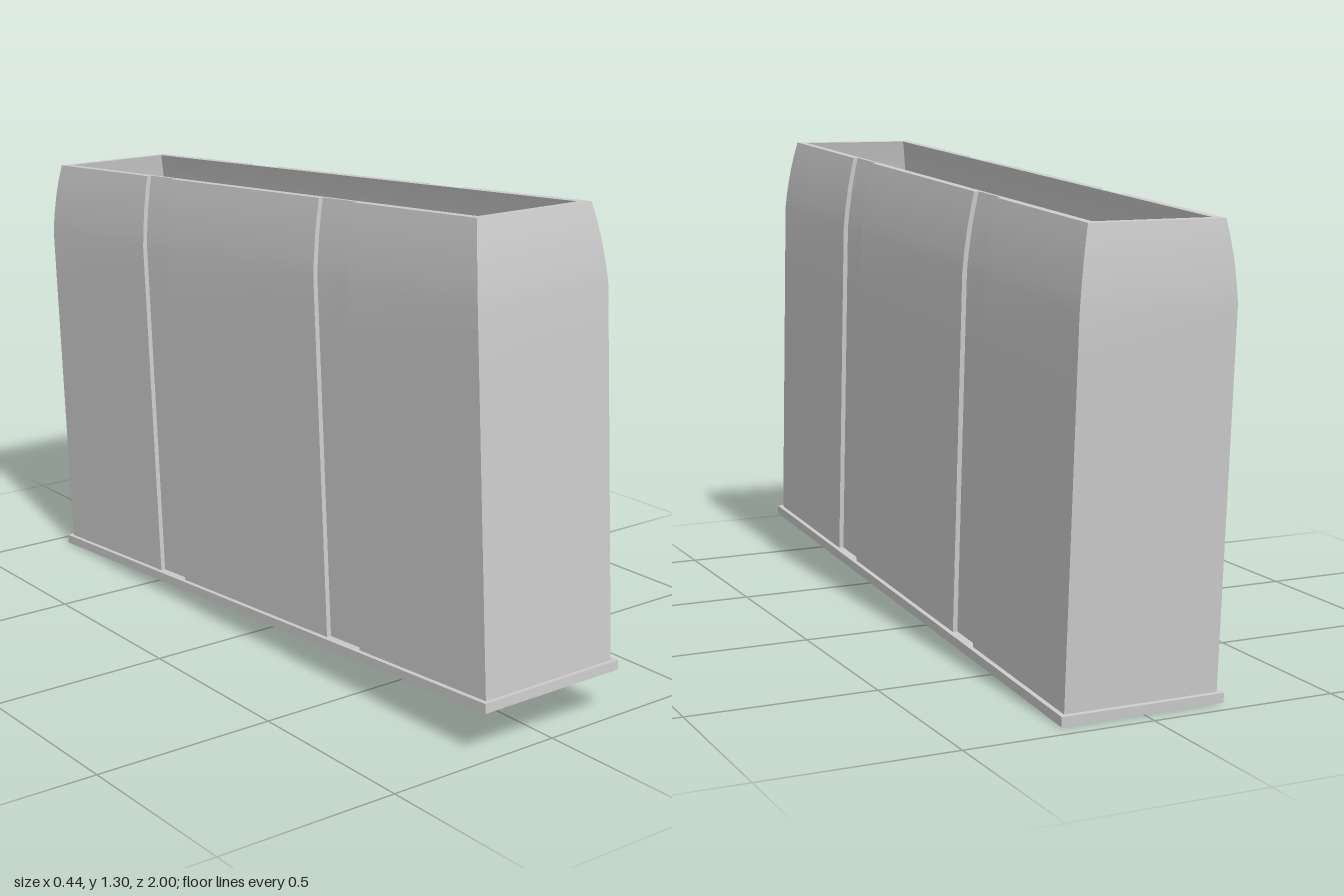
import * as THREE from 'three';
import { toCreasedNormals } from 'three/addons/utils/BufferGeometryUtils.js';

const HALF_W = 0.209, HALF_L = 0.964;   // outer body
const WALL = 0.024, GROOVE = 0.013;     // wall thickness, groove depth
const FLOOR = 0.8;
const GROOVES = [[0.477, 0.34], [-0.335, -0.46]];
// [height, inward curve] of the side walls
const PROFILE = [[0.02, 0], [0.8, 0], [0.98, 0], [1.03, 0.004], [1.09, 0.011], [1.14, 0.019], [1.18, 0.027]];

// Half outline of the +x side, front to back, as [z, groove depth]
function sideOutline() {
  const pts = [[HALF_L, 0]];
  for (const [a, b] of GROOVES) pts.push([a, 0], [a, GROOVE], [b, GROOVE], [b, 0]);
  pts.push([-HALF_L, 0]);
  return pts;
}

// Closed ring at one height; the inner rings have flat sides without grooves
function ring(y, inset, inner) {
  const extra = inset + (inner ? WALL : 0);
  const right = sideOutline().map(([z, depth]) => [
    HALF_W - extra - (inner ? 0 : depth),
    y,
    Math.abs(z) === HALF_L ? z - Math.sign(z) * extra : z,
  ]);
  const left = right.map(([x, h, z]) => [-x, h, z]).reverse();
  return [...right, ...left];
}

// Skin the rings: up the outside, over the rim and down the inside
function shellGeometry() {
  const outer = PROFILE.map(([y, i]) => ring(y, i, false));
  const inner = PROFILE.filter(([y]) => y >= FLOOR).reverse().map(([y, i]) => ring(y, i, true));
  const rings = [...outer, ...inner];
  const n = rings[0].length;
  const index = [];
  for (let r = 0; r < rings.length - 1; r++) {
    for (let i = 0; i < n; i++) {
      const j = (i + 1) % n;
      const a = r * n + i, b = r * n + j;
      index.push(a, b, b + n, a, b + n, a + n);
    }
  }
  const geo = new THREE.BufferGeometry();
  geo.setAttribute('position', new THREE.Float32BufferAttribute(rings.flat(2), 3));
  geo.setIndex(index);
  return toCreasedNormals(geo, 0.5);
}

export function createModel() {
  const model = new THREE.Group();
  model.name = 'magazine';
  const material = new THREE.MeshStandardMaterial({ color: 0xcccccc });

  // Everything leans back together on the sloping base
  const tilted = new THREE.Group();
  tilted.name = 'tiltedBody';
  tilted.rotation.x = -0.064;
  tilted.position.set(0, 0.0625, 0.025);
  model.add(tilted);

  const add = (name, geometry, y) => {
    const mesh = new THREE.Mesh(geometry, material);
    mesh.name = name;
    mesh.position.y = y;
    tilted.add(mesh);
  };

  // Grooved casing with curved-in mouth
  add('casing', shellGeometry(), 0);

  // Floor inside the mouth
  const floor = new THREE.PlaneGeometry(2 * (HALF_W - WALL), 2 * (HALF_L - WALL));
  floor.rotateX(-Math.PI / 2);
  add('innerFloor', floor, FLOOR);

  // Flanged base plate
  add('basePlate', new THREE.BoxGeometry(0.444, 0.025, 1.954), 0.0125);

  return model;
}
